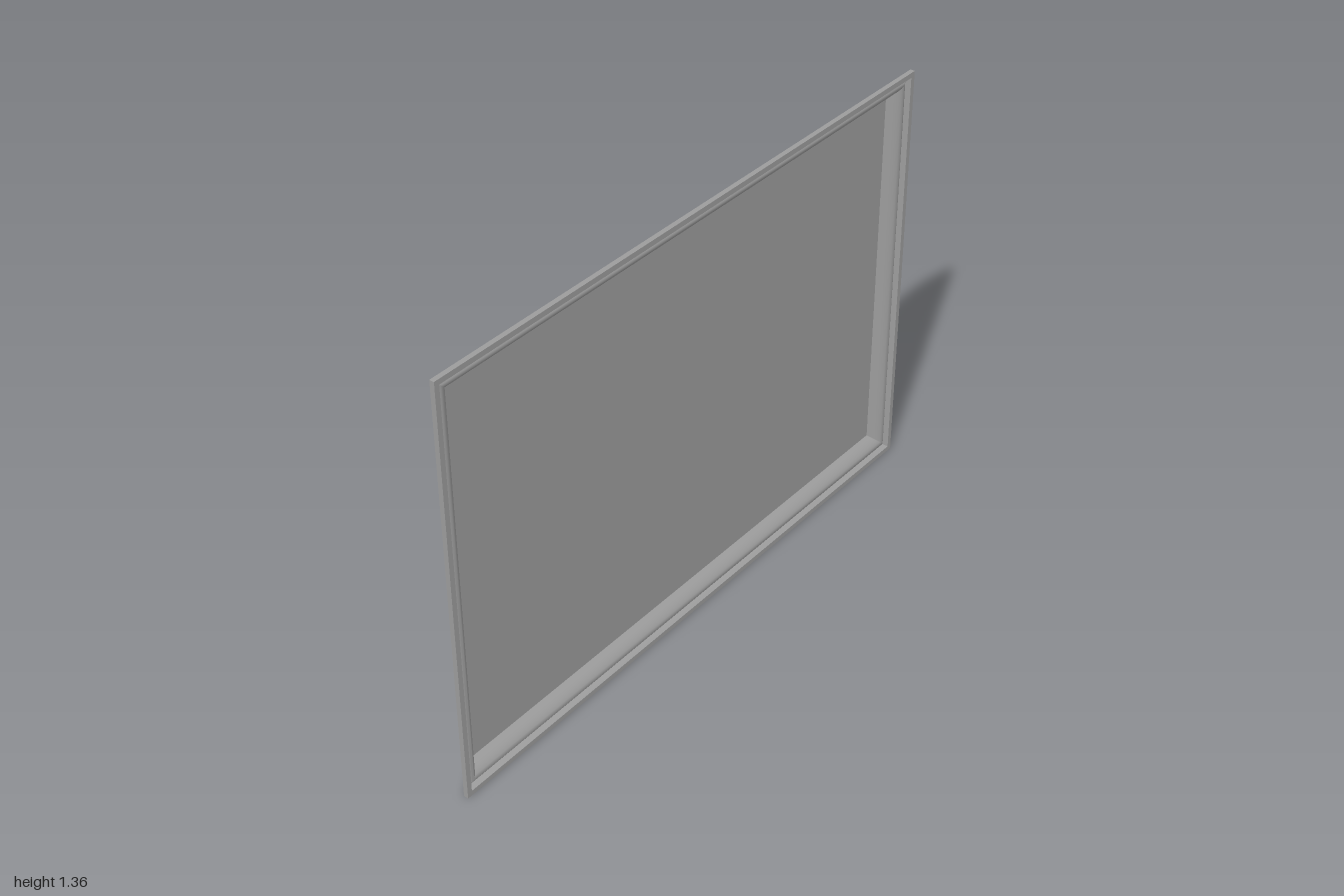
import * as THREE from 'three';
import { toCreasedNormals } from 'three/addons/utils/BufferGeometryUtils.js';

const W = 2, H = 1.355, PANEL_FRONT = -0.013, PANEL_BACK = -0.022;

// Profiles as [distance in from the outer edge, z]
const moulding = [ // flat rim, groove, then a rounded bead down to the panel
  [0, 0.02], [0, 0.035], [0.016, 0.035], [0.02, 0.016], [0.025, 0.021], [0.031, 0.0245],
  [0.037, 0.025], [0.044, 0.022], [0.051, 0.016], [0.058, 0.008], [0.064, -0.002], [0.07, PANEL_FRONT],
];
const backBevel = [[0.09, -0.035], [0, 0.02]];
const ledgedBevel = [[0.09, -0.035], [0.053, -0.012], [0.045, -0.012], [0, 0.02]];
const backLip = [[0.09, PANEL_BACK], [0.09, -0.035]];

const sides = ['right', 'top', 'left', 'bottom'];
const corners = [[1, 0], [1, 1], [-1, 1], [-1, 0]]; // counter-clockwise from the front

// One mitred side of the frame, swept between two neighbouring corners
function mitredSide(profile, side) {
  const positions = [], index = [];
  const ends = [corners[side], corners[(side + 1) % 4]];
  for (const [inset, z] of profile) {
    for (const [sx, top] of ends) {
      positions.push(sx * (W / 2 - inset), top ? H - inset : inset, z);
    }
  }
  for (let i = 0; i < profile.length - 1; i++) {
    const a = i * 2;
    index.push(a, a + 1, a + 3, a, a + 3, a + 2);
  }
  const geometry = new THREE.BufferGeometry();
  geometry.setAttribute('position', new THREE.Float32BufferAttribute(positions, 3));
  geometry.setIndex(index);
  return toCreasedNormals(geometry, 0.5);
}

export function createModel() {
  const model = new THREE.Group();
  model.name = 'pictureFrame';
  const material = new THREE.MeshStandardMaterial({ color: 0x9c9c9c, side: THREE.DoubleSide });
  const add = (parent, geometry, name) => {
    const mesh = new THREE.Mesh(geometry, material);
    mesh.name = name;
    parent.add(mesh);
    return mesh;
  };

  // Four mitred rails; the bottom one has a narrow ledge along its back
  sides.forEach((label, i) => {
    const rail = new THREE.Group();
    rail.name = label + 'Rail';
    add(rail, mitredSide(moulding, i), 'moulding');
    add(rail, mitredSide(backLip, i), 'backLip');
    add(rail, mitredSide(label === 'bottom' ? ledgedBevel : backBevel, i), 'backBevel');
    model.add(rail);
  });

  // Flat picture panel, recessed from both faces and held behind the lip
  const panel = add(model, new THREE.BoxGeometry(W - 0.14, H - 0.14, PANEL_FRONT - PANEL_BACK), 'picturePanel');
  panel.position.set(0, H / 2, (PANEL_FRONT + PANEL_BACK) / 2);

  return model;
}
